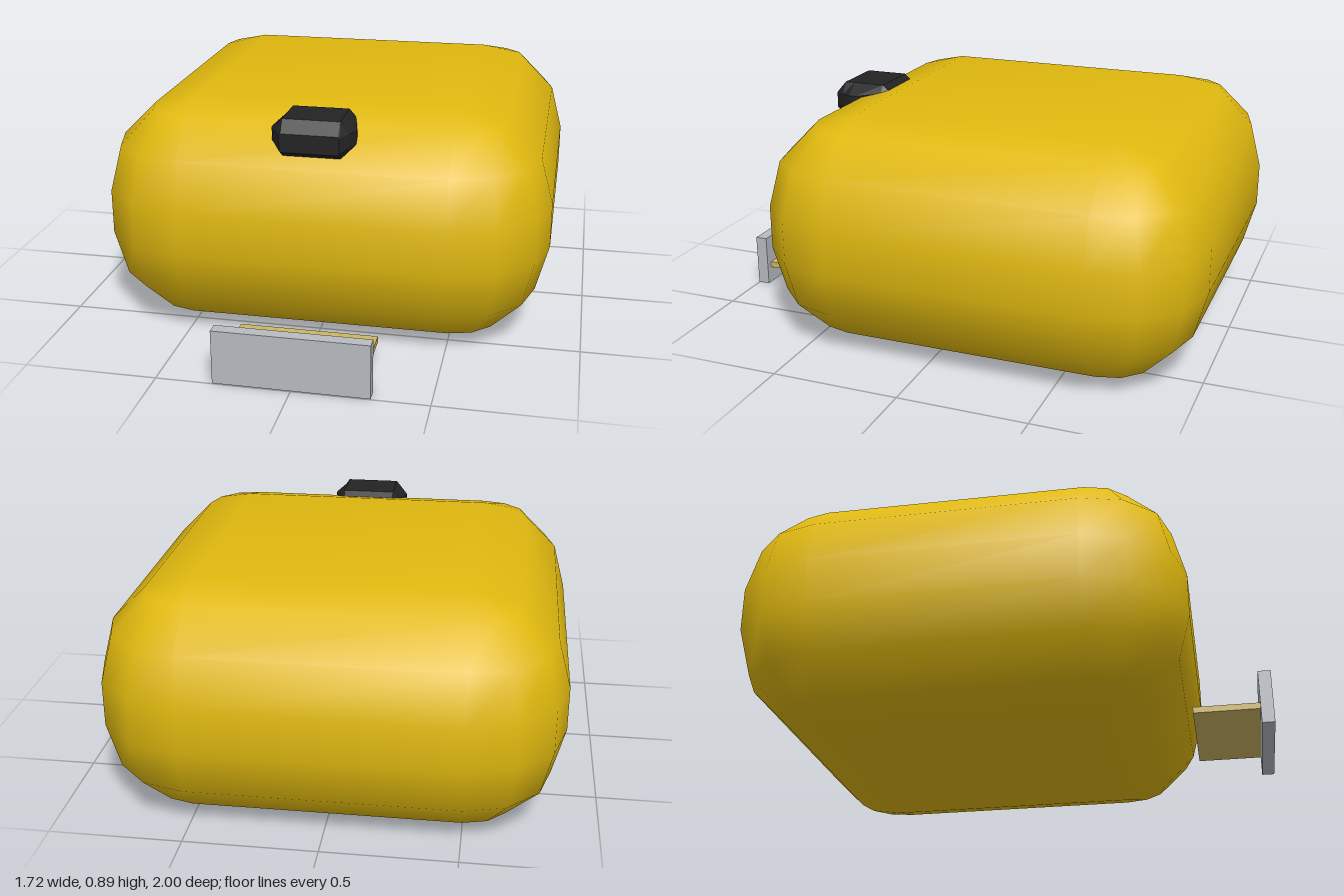
import * as THREE from 'three';

const material = (name, color) => {
  const m = new THREE.MeshStandardMaterial({ color });
  m.name = name;
  return m;
};

function geometryFrom(positions, index, normals) {
  const g = new THREE.BufferGeometry();
  g.setAttribute('position', new THREE.Float32BufferAttribute(positions, 3));
  if (normals) g.setAttribute('normal', new THREE.Float32BufferAttribute(normals, 3));
  g.setIndex(index);
  return g;
}

// Box with wide rounded edges, three facets per quarter turn, softly shaded
function pillowGeometry(w, h, d, r) {
  const rad = Math.PI / 180;
  const core = [w / 2 - r, h / 2 - r, d / 2 - r];
  const soft = [7.5, 30, 60, 82.5]; // normals averaged at the flat faces
  const pos = [], nor = [], idx = [];
  const direction = (az, el) => [
    Math.cos(el * rad) * Math.cos(az * rad), Math.sin(el * rad), Math.cos(el * rad) * Math.sin(az * rad)];
  for (let row = 0; row < 8; row++) {
    const sy = row < 4 ? 1 : -1;
    const k = row < 4 ? 3 - row : row - 4;
    for (let q = 0; q < 4; q++) {
      const sign = [q === 0 || q === 3 ? 1 : -1, sy, q < 2 ? 1 : -1];
      for (let s = 0; s < 4; s++) {
        const p = direction(q * 90 + s * 30, sy * k * 30);
        pos.push(...p.map((v, i) => v * r + sign[i] * core[i]));
        nor.push(...direction(q * 90 + (k === 3 ? 45 : soft[s]), sy * soft[k]));
      }
    }
  }
  for (let row = 0; row < 7; row++) {
    for (let i = 0; i < 16; i++) {
      const n = (i + 1) % 16;
      const a = row * 16 + i, b = row * 16 + n, c = b + 16, e = a + 16;
      const pole = i % 4 !== 3; // corner columns meet in one point at top and bottom
      if (!(row === 0 && pole)) idx.push(a, b, c);
      if (!(row === 6 && pole)) idx.push(a, c, e);
    }
  }
  const t = 1, u = 7 * 16 + 1;
  idx.push(t, t + 8, t + 4, t, t + 12, t + 8);
  idx.push(u, u + 4, u + 8, u, u + 8, u + 12);
  return geometryFrom(pos, idx, nor);
}

// Faceted block lofted through chamfered rectangles, front to back
function facetedBlock(sections) {
  const pos = [], idx = [];
  for (const [z, w, y0, y1, cx, cy] of sections) {
    const ring = [
      [w, y0 + cy], [w, y1 - cy], [w - cx, y1], [cx - w, y1],
      [-w, y1 - cy], [-w, y0 + cy], [cx - w, y0], [w - cx, y0]];
    for (const [x, y] of ring) pos.push(x, y, z);
  }
  const last = (sections.length - 1) * 8;
  for (let s = 0; s < last; s += 8) {
    for (let i = 0; i < 8; i++) {
      const n = (i + 1) % 8;
      idx.push(s + i, s + 8 + i, s + 8 + n, s + i, s + 8 + n, s + n);
    }
  }
  for (let i = 1; i < 7; i++) {
    idx.push(0, i, i + 1);
    idx.push(last, last + i + 1, last + i);
  }
  const g = geometryFrom(pos, idx).toNonIndexed();
  g.computeVertexNormals();
  return g;
}

export function createModel() {
  const group = new THREE.Group();
  const yellow = material('body yellow', 0xe0b90f);
  const tan = material('bracket tan', 0xcdb763);
  const grey = material('plate grey', 0xb8bbc0);
  const black = material('block black', 0x232323);

  const add = (name, geometry, mat, x = 0, y = 0, z = 0) => {
    const mesh = new THREE.Mesh(geometry, mat);
    mesh.name = name;
    mesh.position.set(x, y, z);
    group.add(mesh);
  };

  add('body', pillowGeometry(1.724, 0.89, 1.72, 0.36), yellow, 0, 0.445, -0.14);

  // z, half width, bottom, top, chamfer across, chamfer up
  add('topBlock', facetedBlock([
    [0.67, 0.11, 0.775, 0.845, 0.005, 0.005],
    [0.63, 0.137, 0.75, 0.89, 0.03, 0.045],
    [0.59, 0.156, 0.75, 0.89, 0.05, 0.045],
    [0.565, 0.156, 0.75, 0.89, 0.05, 0.045],
    [0.46, 0.132, 0.75, 0.89, 0.025, 0.03],
    [0.436, 0.11, 0.77, 0.87, 0.005, 0.005],
  ]), black);

  // Front plate on its flat bracket
  add('bracket', new THREE.BoxGeometry(0.524, 0.024, 0.25), tan, 0, 0.081, 0.827);
  add('frontPlate', new THREE.BoxGeometry(0.576, 0.208, 0.048), grey, 0, 0.106, 0.976);

  return group;
}
